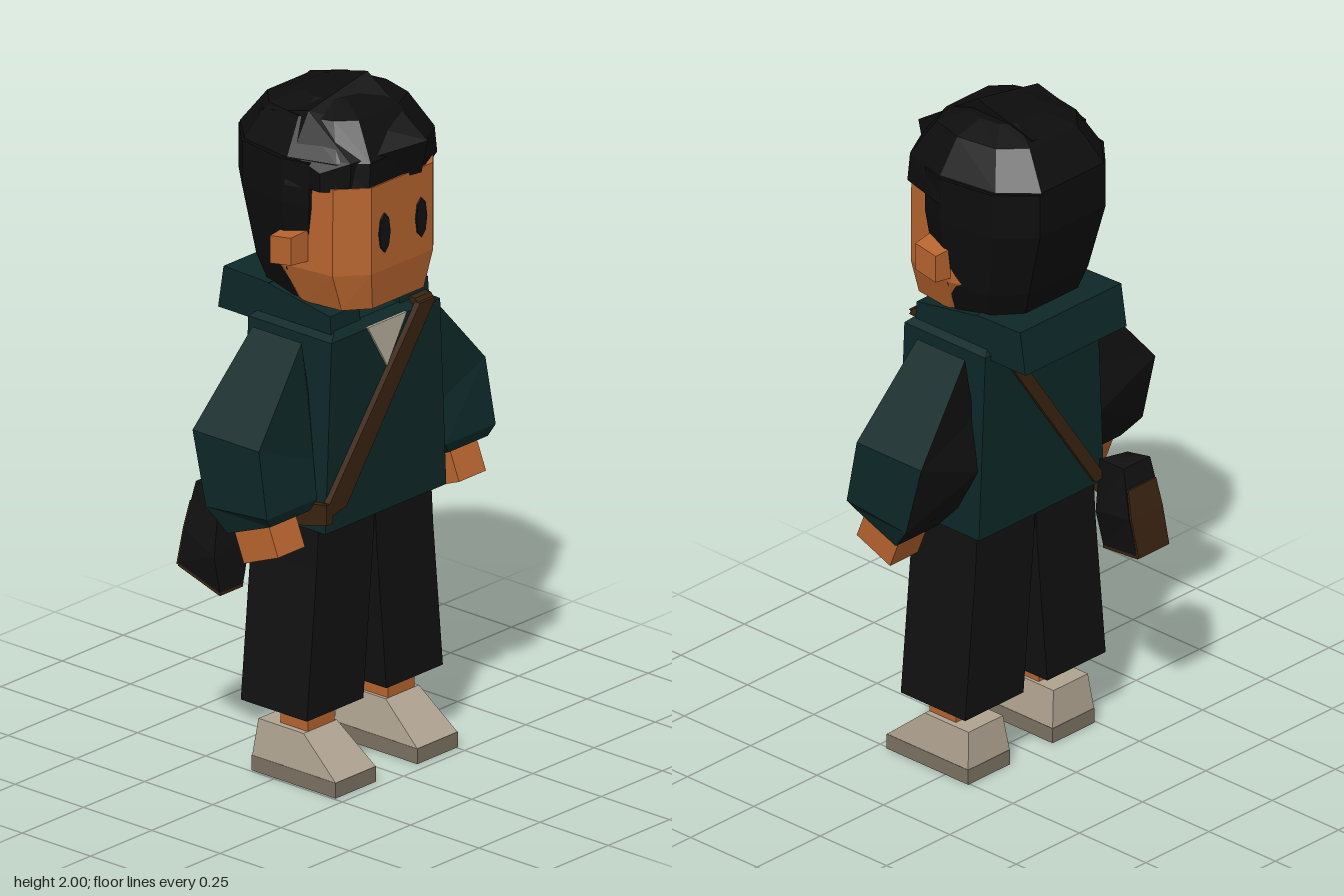
import * as THREE from 'three';

const mat = (name, color) => {
  const m = new THREE.MeshStandardMaterial({ color, flatShading: true });
  m.name = name;
  return m;
};

// Capped skin over matching rings of [x, y, z] points, always wound outward.
// Sides listed in altSides use the second material.
function loft(rings, altSides = []) {
  const n = rings[0].length, main = [], alt = [];
  const last = rings[rings.length - 1];
  for (let r = 0; r < rings.length - 1; r++) {
    for (let i = 0; i < n; i++) {
      const j = (i + 1) % n, a = rings[r], b = rings[r + 1];
      (altSides.includes(i) ? alt : main).push([a[i], a[j], b[j]], [a[i], b[j], b[i]]);
    }
  }
  for (let i = 1; i < n - 1; i++) {
    main.push([rings[0][0], rings[0][i + 1], rings[0][i]], [last[0], last[i], last[i + 1]]);
  }
  const tris = [...main, ...alt];
  let volume = 0;
  const [p, q, s] = [0, 1, 2].map(() => new THREE.Vector3());
  for (const t of tris) volume += p.set(...t[0]).dot(q.set(...t[1]).cross(s.set(...t[2])));
  if (volume < 0) tris.forEach((t) => t.reverse());
  const g = new THREE.BufferGeometry();
  g.setAttribute('position', new THREE.Float32BufferAttribute(tris.flat(2), 3));
  g.computeVertexNormals();
  if (alt.length) {
    g.addGroup(0, main.length * 3, 0);
    g.addGroup(main.length * 3, alt.length * 3, 1);
  }
  return g;
}

// Rectangle ring at height y, and a side profile [z, y] placed at x
const rect = (y, x0, x1, z0, z1) => [[x1, y, z1], [x1, y, z0], [x0, y, z0], [x0, y, z1]];
const side = (x, profile) => profile.map(([z, y]) => [x, y, z]);
// Outline of [x, z] points scaled at height y
const ringAt = (outline, y, sx, sz, dz = 0) => outline.map(([x, z]) => [x * sx, y, z * sz + dz]);

export function createModel() {
  const skin = mat('skin', 0xb8652f), black = mat('black cloth', 0x111111), hairMat = mat('hair', 0x0d0d0d);
  const teal = mat('teal jacket', 0x0e2828), leather = mat('brown leather', 0x3a2411);
  const shoeMat = mat('shoe', 0xb0a491), soleMat = mat('sole', 0x7d7363), shirtMat = mat('shirt', 0xb9b19f);

  const model = new THREE.Group();
  const body = new THREE.Group();
  body.name = 'figure';
  body.position.x = 0.006;
  model.add(body);
  const add = (name, geometry, material) => {
    const m = new THREE.Mesh(geometry, material);
    m.name = name;
    body.add(m);
    return m;
  };

  // Head, neck
  const face = [[0.125, 0.24], [0.205, 0.17], [0.225, 0], [0.18, -0.12],
    [-0.18, -0.12], [-0.225, 0], [-0.205, 0.17], [-0.125, 0.24]];
  add('head', loft([ringAt(face, 1.4, 0.84, 0.75, 0.045), ringAt(face, 1.51, 1.01, 1),
    ringAt(face, 1.765, 1, 1)]), skin);
  add('neck', loft([rect(1.28, -0.065, 0.065, -0.04, 0.09), rect(1.42, -0.065, 0.065, -0.04, 0.09)]), skin);

  // Back of the hair
  const nape = [[0.225, 0.1], [0.248, 0.02], [0.22, -0.15], [0.13, -0.243],
    [-0.13, -0.243], [-0.22, -0.15], [-0.248, 0.02], [-0.225, 0.1]];
  add('backHair', loft([ringAt(nape, 1.38, 0.72, 0.6), ringAt(nape, 1.5, 0.9, 0.78),
    ringAt(nape, 1.7, 1, 1), ringAt(nape, 1.83, 1, 1)]), hairMat);

  // Crown of the hair
  const crown = [[0.25, 0.03], [0.21, 0.18], [0.1, 0.235], [-0.13, 0.235], [-0.2, 0.17],
    [-0.248, 0.03], [-0.22, -0.15], [-0.13, -0.243], [0.13, -0.243], [0.22, -0.15]];
  add('crownHair', loft([ringAt(crown, 1.755, 1, 1), ringAt(crown, 1.835, 0.95, 1),
    ringAt(crown, 1.935, 0.72, 0.7), ringAt(crown, 1.965, 0.4, 0.35)]), hairMat);

  // Swept fringe, stepping down at its left edge
  add('fringe', loft([
    side(-0.225, [[0.04, 1.84], [0.14, 1.81], [0.14, 1.755], [0.06, 1.755], [-0.08, 1.8]]),
    side(-0.17, [[0.05, 1.955], [0.205, 1.84], [0.2, 1.755], [0.08, 1.755], [-0.13, 1.91]]),
    side(0.07, [[0.05, 2], [0.272, 1.855], [0.248, 1.755], [0.1, 1.755], [-0.16, 1.945]]),
  ]), hairMat);

  // Jacket body and shirt opening
  add('jacketBody', loft([rect(0.765, -0.247, 0.247, -0.125, 0.18),
    rect(1.32, -0.222, 0.222, -0.125, 0.18), rect(1.345, -0.18, 0.18, -0.1, 0.155)]), teal);
  const vee = (z) => [[-0.08, 1.325, z], [0, 1.19, z], [0.08, 1.325, z]];
  add('shirt', loft([vee(0.178), vee(0.186)]), shirtMat);

  // Collar
  const collarSide = [[0.16, 1.32], [0.155, 1.385], [-0.08, 1.425], [-0.1, 1.31]];
  for (const s of [1, -1]) {
    add('collarSide', loft([side(s * 0.08, collarSide), side(s * 0.2, collarSide)]), teal);
  }
  const collarBack = [[-0.07, 1.425], [-0.235, 1.43], [-0.255, 1.305], [-0.1, 1.305]];
  add('collarBack', loft([side(-0.2, collarBack), side(0.2, collarBack)]), teal);

  for (const s of [1, -1]) {
    // Ears and eyes
    const ear = (x, k) => side(s * x, [[0.045 + 0.045 * k, 1.575 + 0.055 * k], [0.045 + 0.045 * k, 1.575 - 0.04 * k],
      [0.045 - 0.045 * k, 1.575 - 0.055 * k], [0.045 - 0.045 * k, 1.575 + 0.04 * k]]);
    add('ear', loft([ear(0.2, 1), ear(0.28, 0.85)]), skin);
    const eye = add('eye', new THREE.CylinderGeometry(1, 1, 0.006, 8).rotateX(Math.PI / 2), black);
    eye.scale.set(0.022, 0.058, 1);
    eye.position.set(s * 0.075, 1.62, 0.242);

    // Sleeve with dark back panel: outer/inner x, outer/inner y, back/front z, front-to-back tilt
    const sleeve = [
      [0.255, 0.22, 1.31, 1.12, -0.08, 0.1, 0],
      [0.463, 0.24, 1.06, 0.97, -0.113, 0.13, 0],
      [0.468, 0.262, 0.86, 0.86, -0.06, 0.163, 0.01],
      [0.445, 0.283, 0.81, 0.81, 0, 0.155, 0.03],
    ].map(([xo, xi, yo, yi, zb, zf, t]) => [[s * xo, yo + t, zf], [s * xi, yi + t, zf],
      [s * xi, yi - t, zb], [s * xo, yo - t, zb]]);
    add('sleeve', loft(sleeve, [2]), [teal, black]);

    const hand = add('hand', new THREE.BoxGeometry(0.11, 0.1, 0.135), skin);
    hand.position.set(s * 0.37, 0.768, 0.085);
    hand.rotation.x = -0.38;

    // Trouser leg, ankle and shoe
    const slab = (y, a, b, z0, z1) => rect(y, s * a, s * b, z0, z1);
    add('trouserLeg', loft([slab(0.213, 0.047, 0.278, -0.102, 0.14),
      slab(0.645, 0.008, 0.238, -0.102, 0.14), slab(0.775, 0, 0.23, -0.102, 0.14)]), black);
    add('ankle', loft([slab(0.14, 0.11, 0.218, -0.01, 0.09), slab(0.23, 0.11, 0.218, -0.01, 0.09)]), skin);
    add('sole', loft([slab(0, 0.084, 0.25, -0.087, 0.22), slab(0.045, 0.084, 0.25, -0.087, 0.22)]), soleMat);
    add('shoeUpper', loft([slab(0.045, 0.085, 0.249, -0.086, 0.219),
      slab(0.152, 0.1, 0.236, -0.075, 0.09)]), shoeMat);
  }

  // Strap across the front, over the shoulder and down the back
  const band = (pts, z0, z1) => loft([z0, z1].map((z) => pts.map(([x, y]) => [x, y, z])));
  add('strapFront', band([[0.12, 1.34], [0.185, 1.34], [-0.18, 0.835], [-0.25, 0.82], [-0.25, 0.86]], 0.178, 0.198), leather);
  add('strapShoulder', loft([rect(1.325, 0.12, 0.185, -0.135, 0.198), rect(1.35, 0.12, 0.185, -0.12, 0.18)]), leather);
  add('strapBack', band([[0.14, 1.34], [0.185, 1.34], [-0.2, 0.78], [-0.245, 0.78]], -0.137, -0.122), leather);
  add('strapSide', loft([
    [[-0.262, 0.86, 0.198], [-0.262, 0.8, 0.198], [-0.262, 0.72, -0.13], [-0.262, 0.8, -0.13]],
    [[-0.236, 0.86, 0.198], [-0.236, 0.8, 0.198], [-0.236, 0.72, -0.13], [-0.236, 0.8, -0.13]],
  ]), leather);

  // Satchel with leather flap and base
  add('satchel', loft([
    [[-0.265, 0.55, -0.105], [-0.225, 0.59, -0.272], [-0.345, 0.59, -0.272], [-0.36, 0.55, -0.105]],
    [[-0.23, 0.67, -0.11], [-0.215, 0.7, -0.25], [-0.345, 0.7, -0.25], [-0.378, 0.66, -0.11]],
    [[-0.225, 0.84, -0.13], [-0.225, 0.84, -0.22], [-0.33, 0.84, -0.22], [-0.335, 0.82, -0.13]],
  ]), black);
  add('satchelFlap', loft([
    [[-0.225, 0.585, -0.271], [-0.225, 0.585, -0.278], [-0.345, 0.585, -0.278], [-0.345, 0.585, -0.271]],
    [[-0.218, 0.7, -0.248], [-0.218, 0.7, -0.256], [-0.342, 0.7, -0.256], [-0.342, 0.7, -0.248]],
    [[-0.225, 0.78, -0.23], [-0.225, 0.78, -0.238], [-0.335, 0.78, -0.238], [-0.335, 0.78, -0.23]],
  ]), leather);
  add('satchelBase', loft([0, -0.009].map((d) => [[-0.265, 0.55 + d, -0.105], [-0.225, 0.59 + d, -0.272],
    [-0.345, 0.59 + d, -0.272], [-0.36, 0.55 + d, -0.105]])), leather);

  return model;
}
